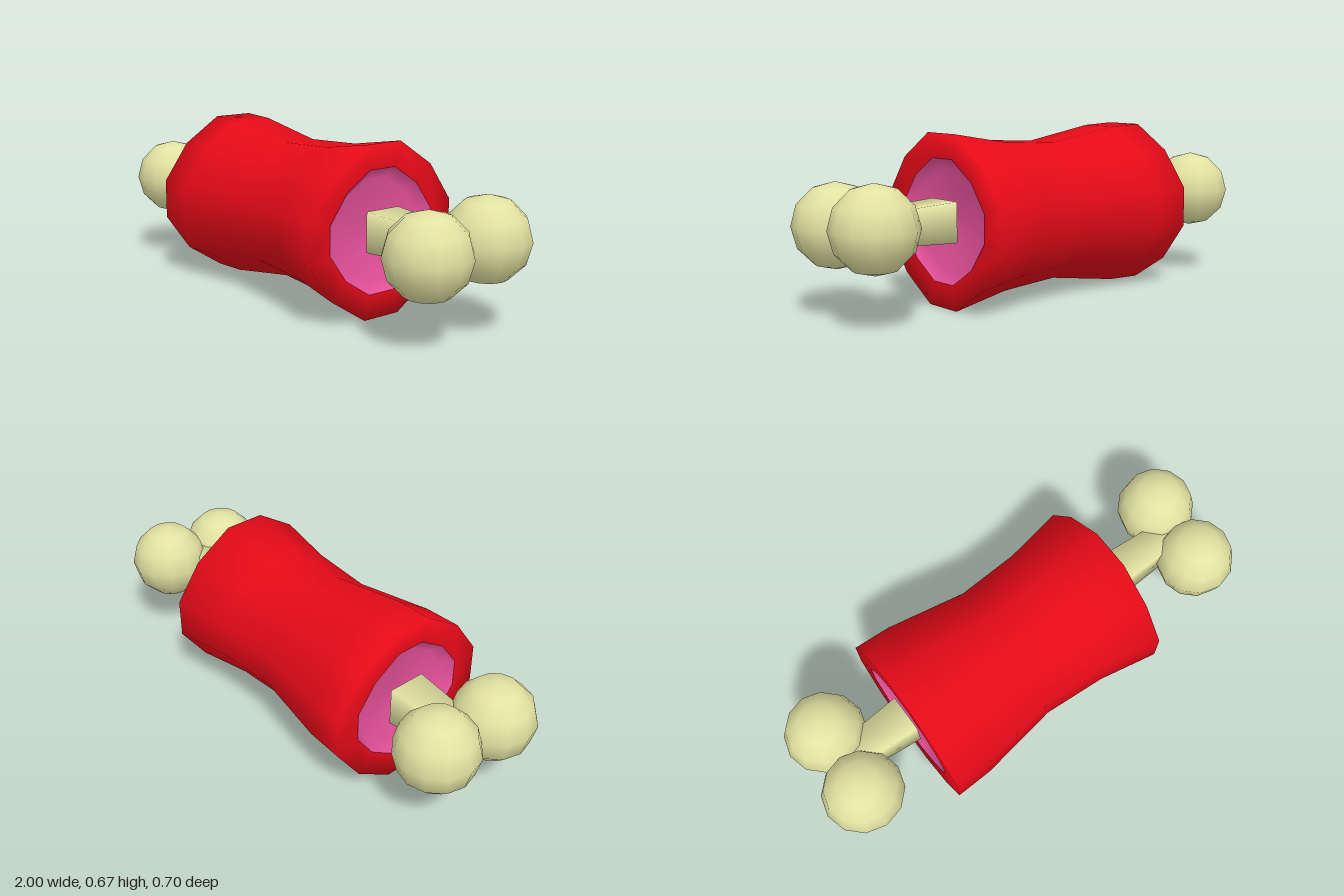
import * as THREE from 'three';

const CENTER_Y = 0.336;

// Twelve-sided turned part along the x axis; profile is [x, radius] pairs
function turned(name, profile, material) {
  const points = profile.map(([x, r]) => new THREE.Vector2(r, x));
  const geometry = new THREE.LatheGeometry(points, 12, Math.PI / 12);
  geometry.rotateZ(-Math.PI / 2);
  // Make the top, bottom and side facets a little narrower than the diagonal ones
  const p = geometry.attributes.position;
  for (let i = 0; i < p.count; i++) {
    const y = p.getY(i), z = p.getZ(i), r2 = y * y + z * z;
    p.setY(i, y * (0.87 + 0.13 * y * y / r2));
    p.setZ(i, z * (0.87 + 0.13 * z * z / r2) * 1.045);
  }
  const mesh = new THREE.Mesh(geometry, material);
  mesh.name = name;
  mesh.position.y = CENTER_Y;
  return mesh;
}

// Square shaft tapering from the meat to the knobs
function shaft(name, xInner, xOuter, material) {
  const length = Math.abs(xOuter - xInner);
  const geometry = new THREE.CylinderGeometry(0.085, 0.11, length, 4, 1, false, Math.PI / 4);
  geometry.rotateZ(xOuter > xInner ? -Math.PI / 2 : Math.PI / 2);
  const mesh = new THREE.Mesh(geometry, material);
  mesh.name = name;
  mesh.position.set((xInner + xOuter) / 2, 0.341, -0.006);
  return mesh;
}

export function createModel() {
  const model = new THREE.Group();
  model.name = 'meatOnBone';
  const red = new THREE.MeshStandardMaterial({ color: 0xe60a18 });
  const pink = new THREE.MeshStandardMaterial({ color: 0xe8529c });
  const cream = new THREE.MeshStandardMaterial({ color: 0xe2e2a2 });

  // Waisted outer rind with a flat rim at each end
  model.add(turned('rind', [
    [-0.54, 0.249], [-0.543, 0.349], [-0.39, 0.343], [-0.06, 0.29],
    [0.2, 0.305], [0.448, 0.349], [0.445, 0.249],
  ], red));

  // Dished cut faces
  model.add(turned('leftCutFace', [[0.445, 0.249], [0.405, 0.205], [0.385, 0.001]], pink));
  model.add(turned('rightCutFace', [[-0.48, 0.001], [-0.5, 0.205], [-0.54, 0.249]], pink));

  // Bone shafts, set into the dished faces
  model.add(shaft('leftShaft', 0.44, 0.8, cream));
  model.add(shaft('rightShaft', -0.535, -0.8, cream));

  // Pair of round knobs at each end of the bone
  const knob = new THREE.SphereGeometry(0.162, 12, 6);
  const knobs = [
    ['leftFrontKnob', 0.825, 0.345, 0.135],
    ['leftBackKnob', 0.837, 0.364, -0.141],
    ['rightFrontKnob', -0.838, 0.367, 0.138],
    ['rightBackKnob', -0.828, 0.372, -0.143],
  ];
  for (const [name, x, y, z] of knobs) {
    const mesh = new THREE.Mesh(knob, cream);
    mesh.name = name;
    mesh.position.set(x, y, z);
    model.add(mesh);
  }
  return model;
}
